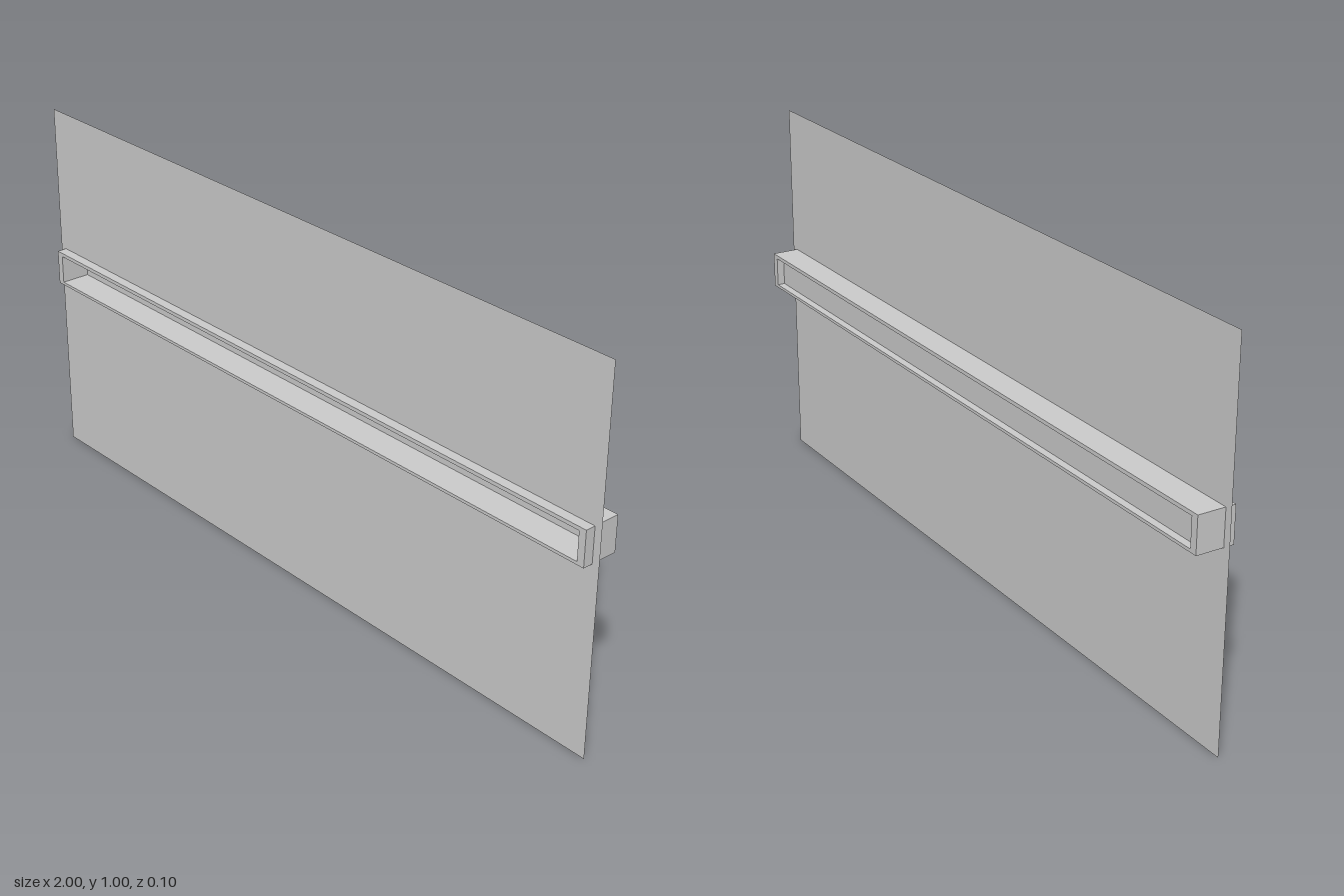
import * as THREE from 'three';

const material = new THREE.MeshStandardMaterial({ color: 0xcccccc, side: THREE.DoubleSide });

// Corner points of a rectangle from its half width and its bottom and top heights
const corners = (halfW, bottom, top) => [
  new THREE.Vector2(-halfW, bottom), new THREE.Vector2(halfW, bottom),
  new THREE.Vector2(halfW, top), new THREE.Vector2(-halfW, top),
];

// Rectangle with a rectangular opening
function ring(outer, inner) {
  const shape = new THREE.Shape(corners(...outer));
  shape.holes.push(new THREE.Path(corners(...inner)));
  return shape;
}

export function createModel() {
  const group = new THREE.Group();
  const add = (name, geometry, z) => {
    const mesh = new THREE.Mesh(geometry, material);
    mesh.name = name;
    mesh.position.z = z;
    group.add(mesh);
  };
  const outer = [0.98, 0.505, 0.6];
  const inner = [0.96, 0.513, 0.59];

  // Thin wall sheet, cut out where the frame passes through
  add('wallPanel', new THREE.ShapeGeometry(ring([1, 0, 1], outer)), 0.023);

  // Long slot frame, standing proud of the wall and reaching behind it
  const frame = new THREE.ExtrudeGeometry(ring(outer, inner), { depth: 0.1, bevelEnabled: false });
  add('slotFrame', frame, -0.05);

  // Plate closing the slot, set slightly in from the back edge
  add('slotBackPlate', new THREE.ShapeGeometry(new THREE.Shape(corners(...inner))), -0.03);

  return group;
}
